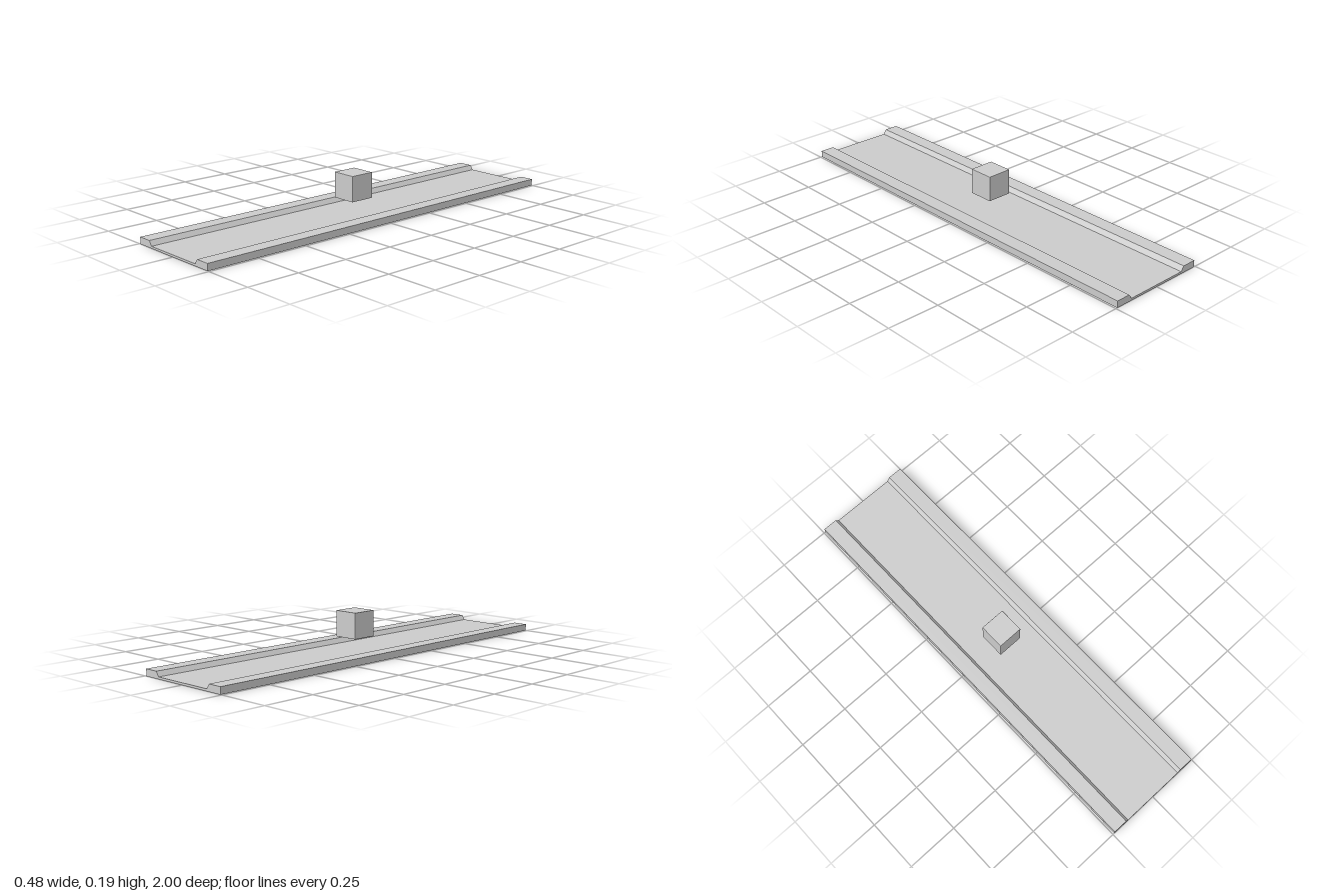
import * as THREE from 'three';
import { RoundedBoxGeometry } from 'three/addons/geometries/RoundedBoxGeometry.js';

export function createModel() {
  const group = new THREE.Group();
  group.name = 'roadWithBlock';
  const material = new THREE.MeshStandardMaterial({ color: 0xcccccc, flatShading: true });

  // Road strip with a raised, sloped kerb along each side
  const length = 2;
  const halfProfile = [[0.242, 0], [0.242, 0.032], [0.172, 0.032], [0.157, 0.01]];
  const mirrored = halfProfile.map(([x, y]) => [-x, y]).reverse();
  const profile = [...halfProfile, ...mirrored].map(([x, y]) => new THREE.Vector2(x, y));
  const roadGeometry = new THREE.ExtrudeGeometry(new THREE.Shape(profile), {
    depth: length,
    bevelEnabled: false,
  });
  roadGeometry.translate(0, 0, -length / 2);
  const road = new THREE.Mesh(roadGeometry, material);
  road.name = 'roadWithKerbs';
  group.add(road);

  // Floating block with finely chamfered edges
  const size = 0.122;
  const block = new THREE.Mesh(new RoundedBoxGeometry(size, size, size, 1, 0.0015), material);
  block.name = 'floatingBlock';
  block.position.y = 0.131;
  group.add(block);

  return group;
}
